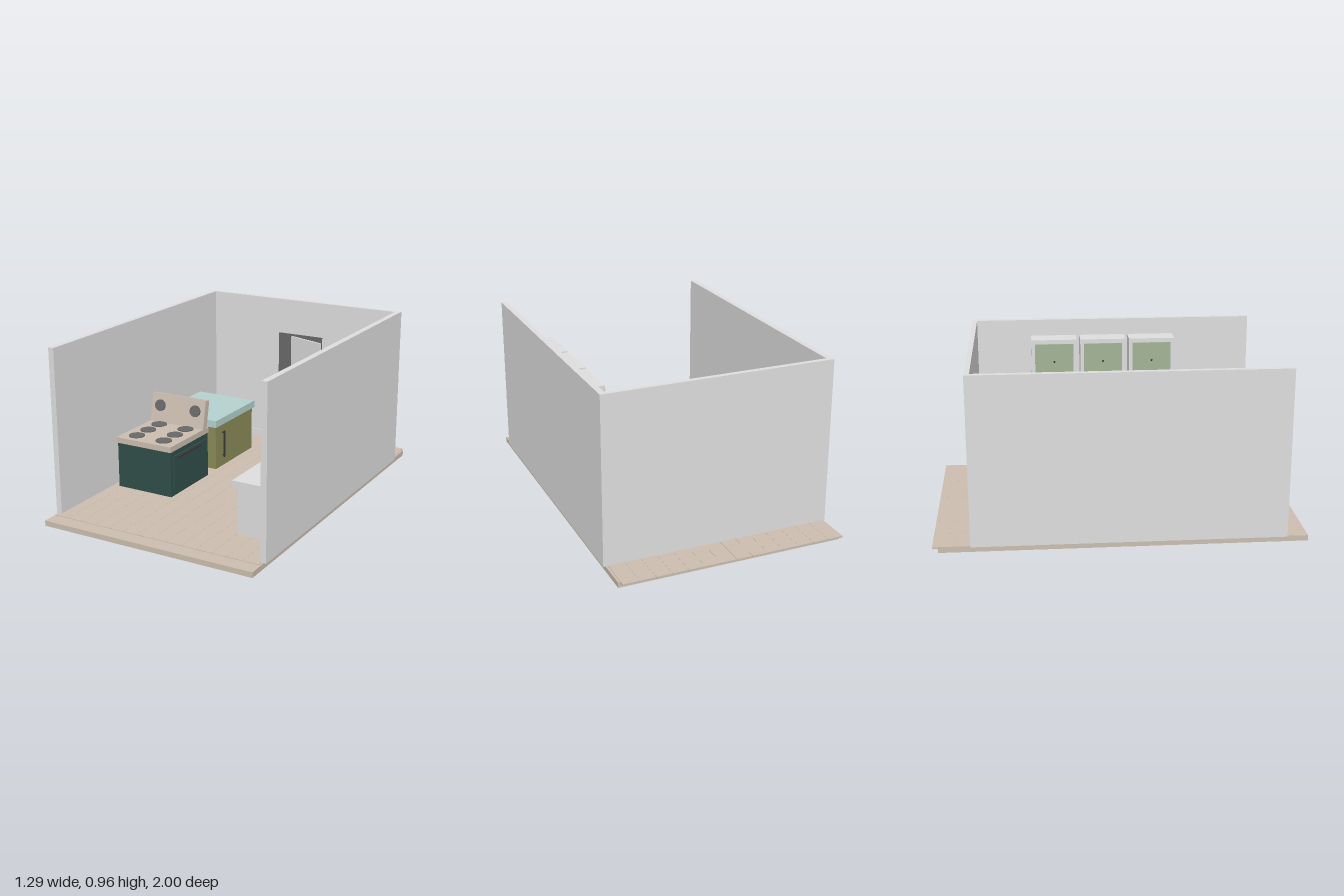
import * as THREE from 'three';

const mat = (name, color, side = THREE.FrontSide) => {
  const m = new THREE.MeshStandardMaterial({ color, side });
  m.name = name;
  return m;
};

export function createModel() {
  const white = mat('white paint', 0xdedede);
  const tan = mat('tan wood', 0xcbbeb0);
  const teal = mat('pale teal', 0xb4d1ce);
  const grey = mat('dark grey', 0x686868);
  const black = mat('charcoal', 0x3a3a3a);
  const olive = mat('olive', 0x8a8a59);
  const pine = mat('pine green', 0x314e49);
  const sage = mat('sage', 0xa3b496);
  const leafGreen = mat('leaf green', 0x898e5a, THREE.DoubleSide);

  const root = new THREE.Group();
  root.name = 'kitchen';
  const group = (name) => {
    const g = new THREE.Group();
    g.name = name;
    root.add(g);
    return g;
  };
  const add = (parent, name, geo, m, x = 0, y = 0, z = 0) => {
    const mesh = new THREE.Mesh(geo, m);
    mesh.name = name;
    mesh.position.set(x, y, z);
    parent.add(mesh);
    return mesh;
  };
  // box given by its minimum and maximum on each axis
  const box = (parent, name, m, x0, x1, y0, y1, z0, z1) =>
    add(parent, name, new THREE.BoxGeometry(x1 - x0, y1 - y0, z1 - z0), m,
      (x0 + x1) / 2, (y0 + y1) / 2, (z0 + z1) / 2);
  const knob = (parent, x, y, z) =>
    add(parent, 'knob', new THREE.SphereGeometry(0.006, 12, 8), black, x, y, z);

  // floor slab and planks
  const floor = group('floor');
  box(floor, 'slab', tan, -0.635, 0.632, 0, 0.03, -0.97, 1);
  const planks = 14, pw = 1.255 / planks;
  for (let i = 0; i < planks; i++) {
    const x = -0.635 + i * pw;
    box(floor, 'plank', tan, x, x + pw - 0.001, 0.024, 0.033, -1, 0.915);
  }

  // walls
  const walls = group('walls');
  for (const s of [-1, 1]) {
    box(walls, 'sideWall', white, Math.min(s * 0.645, s * 0.612), Math.max(s * 0.645, s * 0.612),
      0.03, 0.96, -0.8, 0.885);
  }
  box(walls, 'backWall', white, -0.612, 0.612, 0.03, 0.96, -0.8, -0.772);
  box(walls, 'baseboard', white, -0.612, 0.612, 0.03, 0.08, -0.772, -0.765);

  // doorway and open door
  const door = group('door');
  box(door, 'doorway', grey, -0.15, 0.147, 0.08, 0.745, -0.774, -0.767);
  const leaf = box(door, 'doorLeaf', white, -0.122, 0.122, 0.033, 0.745, -0.006, 0.006);
  leaf.position.x = 0.08;
  leaf.position.z = -0.68;
  leaf.rotation.y = -0.328;
  knob(door, -0.031, 0.385, -0.635);

  // stove, its oven door facing +x
  const stove = group('stove');
  box(stove, 'body', pine, -0.573, -0.218, 0.033, 0.3, 0, 0.4);
  box(stove, 'ovenDoor', pine, -0.218, -0.209, 0.08, 0.27, 0.03, 0.375);
  box(stove, 'ovenHandle', black, -0.205, -0.195, 0.255, 0.267, 0.1, 0.355);
  for (const z of [0.115, 0.34]) box(stove, 'handlePost', black, -0.211, -0.197, 0.257, 0.265, z - 0.005, z + 0.005);
  box(stove, 'cooktop', tan, -0.578, -0.214, 0.3, 0.333, -0.005, 0.407);
  for (const x of [-0.49, -0.307]) {
    for (const z of [0.1, 0.215, 0.33]) {
      add(stove, 'burner', new THREE.CylinderGeometry(0.046, 0.046, 0.006, 32), grey, x, 0.335, z);
    }
  }
  // control panel leaning back
  const panel = new THREE.Group();
  panel.name = 'controlPanel';
  panel.position.set(-0.396, 0.333, 0.057);
  panel.rotation.x = -0.2;
  stove.add(panel);
  box(panel, 'backsplash', tan, -0.182, 0.182, 0, 0.17, -0.04, 0);
  for (const x of [-0.121, 0.119]) {
    const dial = add(panel, 'dial', new THREE.CylinderGeometry(0.034, 0.034, 0.012, 32), grey, x, 0.1, 0.004);
    dial.rotation.x = Math.PI / 2;
  }

  // island cabinet beside the stove
  const side = group('sideCabinet');
  box(side, 'body', olive, -0.602, -0.225, 0.033, 0.3, -0.55, -0.105);
  box(side, 'top', teal, -0.612, -0.214, 0.3, 0.342, -0.565, -0.09);
  box(side, 'handle', black, -0.216, -0.208, 0.09, 0.255, -0.19, -0.18);
  for (const y of [0.1, 0.245]) box(side, 'handlePost', black, -0.226, -0.21, y - 0.004, y + 0.004, -0.189, -0.181);

  // long counter with drawers
  const counter = group('counter');
  box(counter, 'body', white, 0.354, 0.612, 0.033, 0.3, -0.49, 0.65);
  box(counter, 'top', white, 0.33, 0.612, 0.3, 0.334, -0.51, 0.67);
  for (let c = 0; c < 3; c++) {
    const z0 = -0.475 + c * 0.375;
    for (let r = 0; r < 3; r++) {
      const y0 = 0.04 + r * 0.085;
      box(counter, 'drawer', white, 0.346, 0.355, y0, y0 + 0.075, z0, z0 + 0.36);
      knob(counter, 0.341, y0 + 0.038, z0 + 0.18);
    }
  }

  // wall cupboards
  const cupboards = group('wallCupboards');
  for (const z0 of [-0.45, -0.155, 0.14]) {
    box(cupboards, 'cupboard', white, 0.486, 0.612, 0.61, 0.862, z0, z0 + 0.275);
    box(cupboards, 'cupboardDoor', sage, 0.479, 0.487, 0.635, 0.837, z0 + 0.022, z0 + 0.253);
    knob(cupboards, 0.474, 0.73, z0 + 0.137);
  }

  // potted plant
  const plant = group('plant');
  const px = 0.288, pz = -0.625;
  for (const [name, m, y0, y1] of [
    ['potBase', pine, 0.033, 0.065], ['potBand', teal, 0.065, 0.1], ['potRim', pine, 0.1, 0.128],
  ]) add(plant, name, new THREE.CylinderGeometry(0.06, 0.06, y1 - y0, 32), m, px, (y0 + y1) / 2, pz);
  add(plant, 'soil', new THREE.CylinderGeometry(0.059, 0.059, 0.004, 32), grey, px, 0.128, pz);
  const stem = new THREE.CatmullRomCurve3([[0.288, 0.13], [0.289, 0.25], [0.295, 0.38], [0.304, 0.5]]
    .map(([x, y]) => new THREE.Vector3(x, y, pz)));
  add(plant, 'stem', new THREE.TubeGeometry(stem, 16, 0.003, 6), leafGreen);
  // flat leaves: base x, base y, tip x, tip y
  for (const [bx, by, tx, ty] of [
    [0.289, 0.215, 0.238, 0.305], [0.29, 0.215, 0.336, 0.3], [0.291, 0.3, 0.25, 0.43],
    [0.294, 0.34, 0.34, 0.43], [0.297, 0.39, 0.265, 0.47], [0.304, 0.488, 0.307, 0.552],
  ]) {
    const dx = tx - bx, dy = ty - by, k = 0.016 / Math.hypot(dx, dy);
    const mx = bx + dx * 0.55, my = by + dy * 0.55;
    const shape = new THREE.Shape([[bx, by], [mx + dy * k, my - dx * k], [tx, ty], [mx - dy * k, my + dx * k]]
      .map(([x, y]) => new THREE.Vector2(x, y)));
    add(plant, 'leaf', new THREE.ShapeGeometry(shape), leafGreen, 0, 0, pz);
  }
  return root;
}
